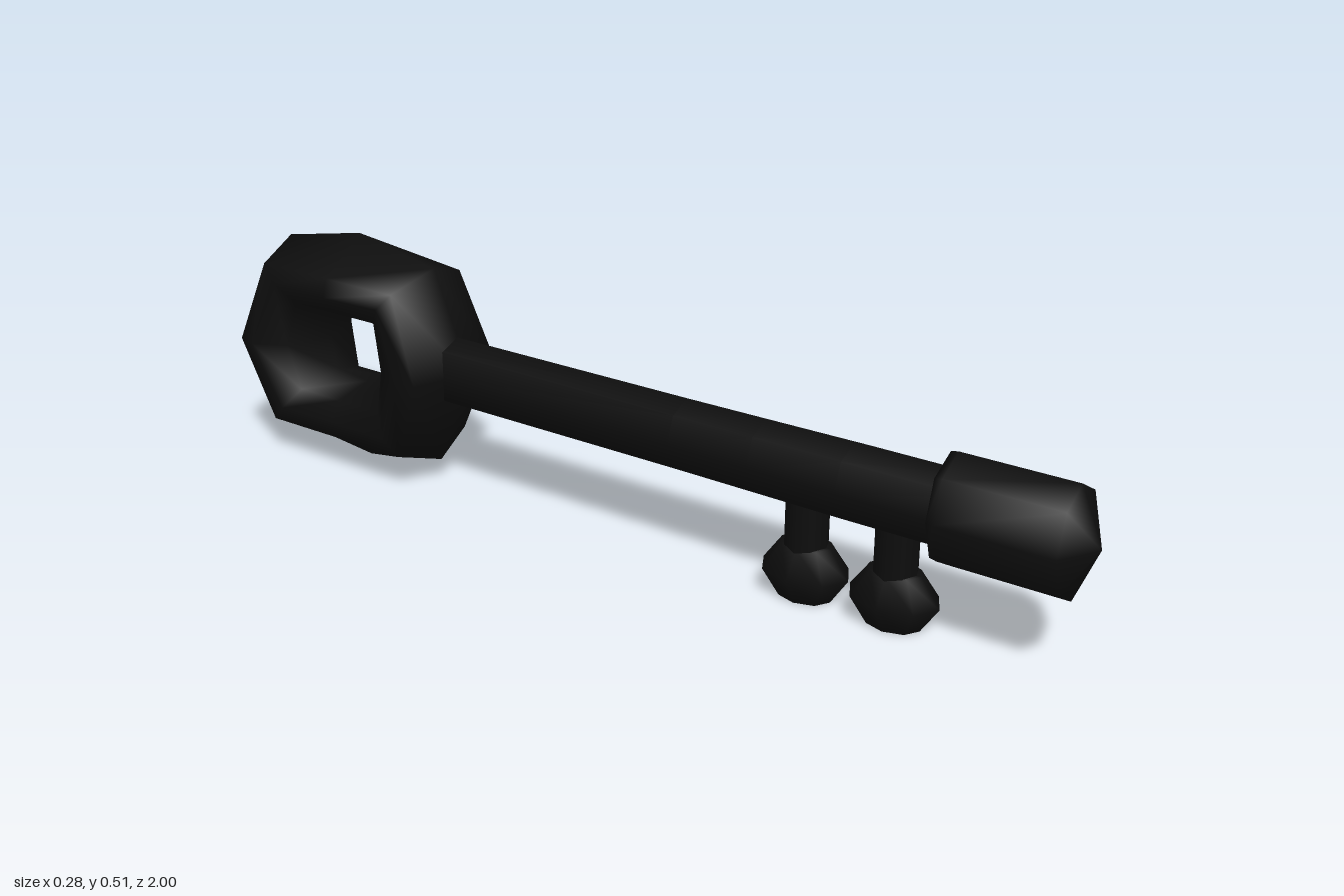
import * as THREE from 'three';

const material = new THREE.MeshStandardMaterial({ color: 0x0d0d0d });
const AXIS_Y = 0.26;

function add(parent, name, geometry, x, y, z) {
  const mesh = new THREE.Mesh(geometry, material);
  mesh.name = name;
  mesh.position.set(x, y, z);
  parent.add(mesh);
  return mesh;
}

// Eight-sided turned solid; profile is [radius, height] pairs from bottom to top
function turned(profile) {
  return new THREE.LatheGeometry(profile.map(([r, h]) => new THREE.Vector2(r, h)), 8);
}

// Half sections of the bow, inner to outer edge, as [z, y, x]
const sideSection = [[0.105, 0, 0], [0.14, 0, 0.1], [0.21, 0, 0.138], [0.255, 0, 0.125], [0.3, 0, 0]];
const cornerSection = [[0.09, 0.072, 0], [0.115, 0.1, 0.09], [0.15, 0.144, 0.118], [0.185, 0.18, 0.107], [0.21, 0.215, 0]];
const topSection = [[0, 0.082, 0], [0, 0.1, 0.09], [0, 0.14, 0.118], [0, 0.18, 0.107], [0, 0.255, 0]];

// Octagonal ring swept through the mirrored sections
function bowGeometry() {
  const positions = [], index = [], n = 8;
  for (let j = 0; j < n; j++) {
    const a = j * Math.PI / 4;
    const sz = Math.sign(Math.round(Math.cos(a) * 10));
    const sy = Math.sign(Math.round(Math.sin(a) * 10));
    const section = sy === 0 ? sideSection : sz === 0 ? topSection : cornerSection;
    for (let k = 0; k < n; k++) {
      const [z, y, x] = section[k <= 4 ? k : n - k];
      positions.push(k <= 4 ? x : -x, y * sy, z * sz);
      const j1 = (j + 1) % n, k1 = (k + 1) % n;
      const p = j * n + k, q = j1 * n + k, r = j1 * n + k1, s = j * n + k1;
      index.push(p, q, r, p, r, s);
    }
  }
  const geometry = new THREE.BufferGeometry();
  geometry.setAttribute('position', new THREE.Float32BufferAttribute(positions, 3));
  geometry.setIndex(index);
  geometry.computeVertexNormals();
  return geometry;
}

// Shaft, widening slightly in x towards the front
function shaftGeometry() {
  const geometry = turned([[0.076, -0.5], [0.076, 0.15], [0.077, 0.33], [0.078, 0.52], [0.078, 0.78]]);
  geometry.rotateX(Math.PI / 2);
  const p = geometry.attributes.position;
  for (let i = 0; i < p.count; i++) {
    const t = THREE.MathUtils.clamp((p.getZ(i) + 0.5) / 1.02, 0, 1);
    p.setX(i, p.getX(i) * THREE.MathUtils.lerp(0.77, 0.89, t));
  }
  return geometry;
}

export function createModel() {
  const key = new THREE.Group();
  key.name = 'key';

  add(key, 'bow', bowGeometry(), 0, AXIS_Y, -0.7);
  add(key, 'shaft', shaftGeometry(), 0, AXIS_Y, 0);

  // Thick end of the shaft with a blunt point
  const tip = turned([[0, 0.71], [0.108, 0.71], [0.111, 0.725], [0.111, 0.955], [0, 1]]);
  tip.rotateX(Math.PI / 2);
  tip.scale(0.75, 1, 1);
  add(key, 'tip', tip, 0, AXIS_Y, 0);

  // Two teeth: a stem carrying a faceted bit
  const stem = turned([[0.043, 0.09], [0.043, 0.23]]);
  const bit = turned([[0, 0], [0.056, 0], [0.093, 0.055], [0.053, 0.11], [0, 0.11]]);
  bit.scale(0.74, 1, 1);
  for (const z of [0.617, 0.427]) {
    const tooth = new THREE.Group();
    tooth.name = 'tooth';
    tooth.position.z = z;
    add(tooth, 'toothStem', stem, 0, 0, 0);
    add(tooth, 'toothBit', bit, 0, 0, 0);
    key.add(tooth);
  }
  return key;
}
